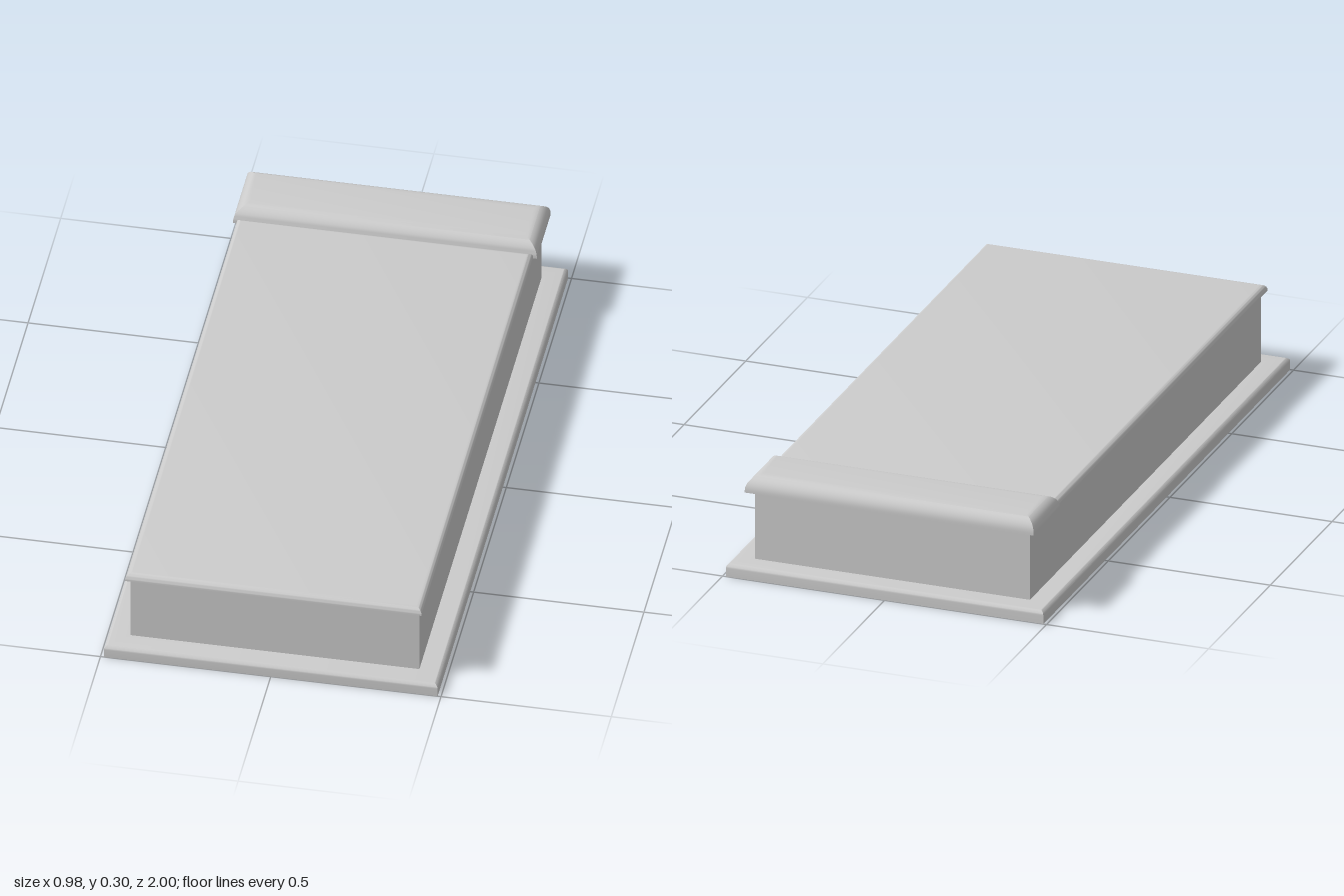
import * as THREE from 'three';
import { toCreasedNormals } from 'three/addons/utils/BufferGeometryUtils.js';

const material = new THREE.MeshStandardMaterial({ color: 0xcccccc });

// Sweeps a profile of [inset, y] points around a rectangle with mitred corners.
// Open profiles are capped top and bottom; closed ones make a hollow frame.
function moulding(name, [x0, x1, z0, z1], profile, closed = false) {
  const positions = [];
  const quad = (a, b, c, d) => positions.push(...a, ...b, ...c, ...a, ...c, ...d);
  const rings = profile.map(([i, y]) => [
    [x1 - i, y, z1 - i], [x1 - i, y, z0 + i], [x0 + i, y, z0 + i], [x0 + i, y, z1 - i],
  ]);
  const count = closed ? rings.length : rings.length - 1;
  for (let r = 0; r < count; r++) {
    const low = rings[r], high = rings[(r + 1) % rings.length];
    for (let k = 0; k < 4; k++) {
      const n = (k + 1) % 4;
      quad(low[k], low[n], high[n], high[k]);
    }
  }
  if (!closed) {
    quad(...rings[rings.length - 1]);
    quad(...[...rings[0]].reverse());
  }
  const geometry = new THREE.BufferGeometry();
  geometry.setAttribute('position', new THREE.Float32BufferAttribute(positions, 3));
  const mesh = new THREE.Mesh(toCreasedNormals(geometry, Math.PI / 6), material);
  mesh.name = name;
  return mesh;
}

// Outer edge: straight up from the bottom, then rounded over at the top
function roundedEdge(bottom, top, radius, steps = 8) {
  const points = [[0, bottom]];
  for (let s = 0; s <= steps; s++) {
    const a = (s / steps) * Math.PI / 2;
    points.push([radius * (1 - Math.cos(a)), top - radius + radius * Math.sin(a)]);
  }
  return points;
}

export function createModel() {
  const group = new THREE.Group();
  group.name = 'ledgerSlabTomb';

  // Open plinth frame on the ground
  group.add(moulding('plinth', [-0.49, 0.49, -1, 1],
    [...roundedEdge(0, 0.04, 0.014), [0.105, 0.04], [0.105, 0]], true));

  // Hollow walls
  group.add(moulding('walls', [-0.424, 0.424, -0.935, 0.935],
    [[0, 0.04], [0, 0.255], [0.039, 0.255], [0.039, 0.04]], true));

  // Thin cover slab
  group.add(moulding('coverSlab', [-0.435, 0.435, -0.752, 0.96],
    roundedEdge(0.255, 0.277, 0.018)));

  // Raised, rounded block at the head end
  group.add(moulding('headBlock', [-0.446, 0.446, -0.962, -0.75],
    roundedEdge(0.255, 0.304, 0.042)));

  return group;
}
